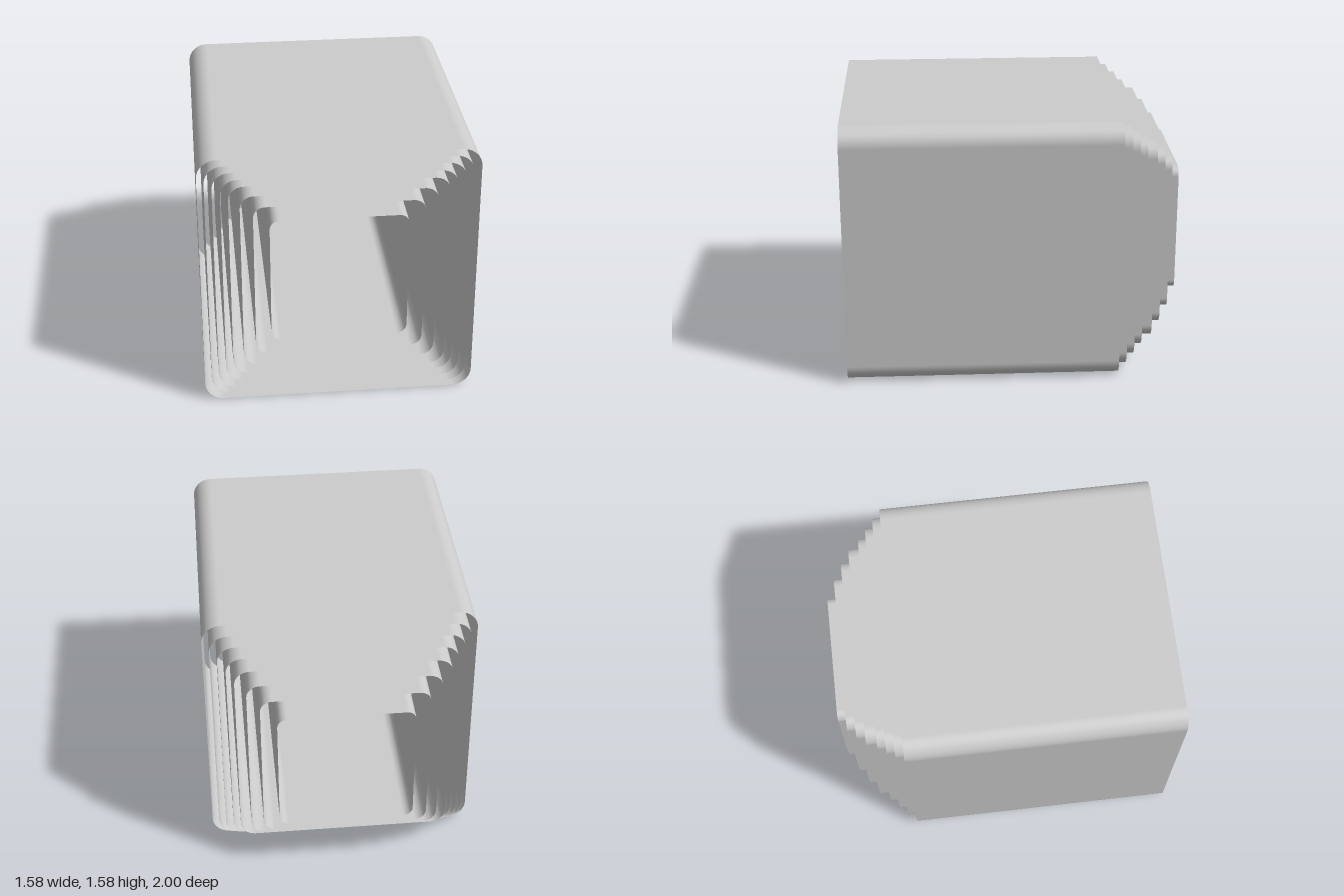
import * as THREE from 'three';

const FRONT_Z = 1;
const CENTRE_Y = 0.79;
const ARC_STEPS = 10;

// Half width and rear end (z) of each nested sleeve, outermost first
const SLEEVES = [
  [0.79, -0.62], [0.75, -0.67], [0.708, -0.72], [0.663, -0.77],
  [0.62, -0.835], [0.557, -0.89], [0.485, -0.945], [0.394, -1],
];

// Open square tube with rounded corners and no wall thickness
function sleeveGeometry(half, backZ) {
  const radius = half * 0.14;
  const inner = half - radius;
  const positions = [], normals = [], indices = [];

  // Walk counter-clockwise round the four corners, adding a front and back point each step
  for (let corner = 0; corner < 4; corner++) {
    const mid = (corner + 0.5) * Math.PI / 2;
    const cx = Math.sign(Math.cos(mid)) * inner;
    const cy = Math.sign(Math.sin(mid)) * inner;
    for (let i = 0; i <= ARC_STEPS; i++) {
      const a = (corner + i / ARC_STEPS) * Math.PI / 2;
      const nx = Math.cos(a), ny = Math.sin(a);
      for (const z of [FRONT_Z, backZ]) {
        positions.push(cx + nx * radius, cy + ny * radius, z);
        normals.push(nx, ny, 0);
      }
    }
  }

  // Join neighbouring point pairs into outward-facing wall strips
  const count = positions.length / 6;
  for (let i = 0; i < count; i++) {
    const a = i * 2, b = ((i + 1) % count) * 2;
    indices.push(a, a + 1, b, b, a + 1, b + 1);
  }

  const geometry = new THREE.BufferGeometry();
  geometry.setAttribute('position', new THREE.Float32BufferAttribute(positions, 3));
  geometry.setAttribute('normal', new THREE.Float32BufferAttribute(normals, 3));
  geometry.setIndex(indices);
  return geometry;
}

export function createModel() {
  const model = new THREE.Group();
  model.name = 'nestedSleeves';
  const material = new THREE.MeshStandardMaterial({ color: 0xcccccc, side: THREE.DoubleSide });

  // Sleeves share the front plane; each smaller one reaches further back
  SLEEVES.forEach(([half, backZ], i) => {
    const sleeve = new THREE.Mesh(sleeveGeometry(half, backZ), material);
    sleeve.name = `sleeve${i + 1}`;
    sleeve.position.y = CENTRE_Y;
    model.add(sleeve);
  });
  return model;
}
